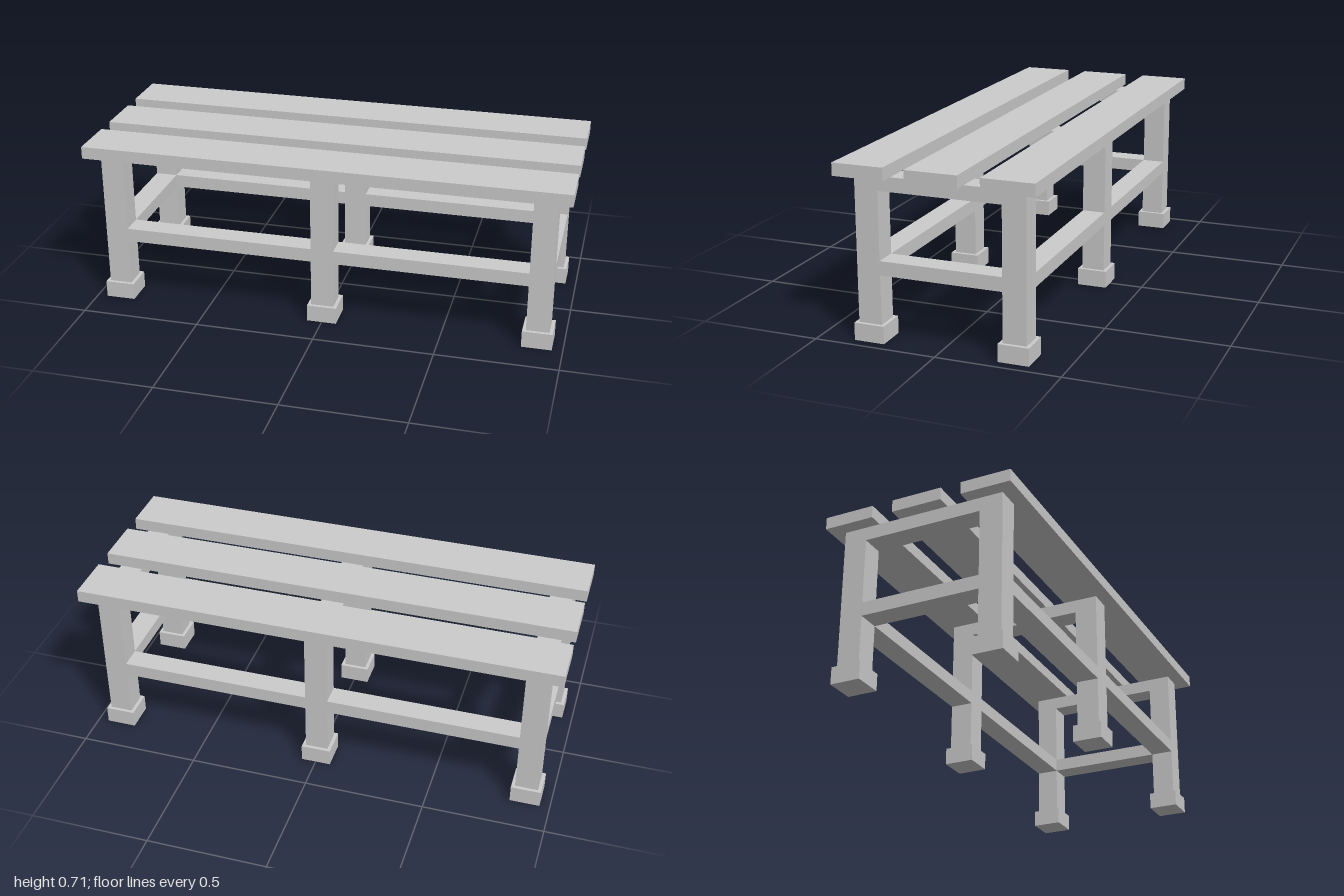
import * as THREE from 'three';

export function createModel() {
  const bench = new THREE.Group();
  bench.name = 'bench';
  const material = new THREE.MeshStandardMaterial({ color: 0xcccccc, flatShading: true });

  // Box given by its [min, max] extent on each axis
  function box(name, [x0, x1], [y0, y1], [z0, z1]) {
    const mesh = new THREE.Mesh(new THREE.BoxGeometry(x1 - x0, y1 - y0, z1 - z0), material);
    mesh.position.set((x0 + x1) / 2, (y0 + y1) / 2, (z0 + z1) / 2);
    mesh.name = name;
    bench.add(mesh);
  }
  const around = (centre, width) => [centre - width / 2, centre + width / 2];

  const legWidth = 0.095, half = legWidth / 2;
  const footWidth = 0.124, footTop = 0.071;
  const seatBottom = 0.657, seatTop = 0.708;
  const stretcherY = [0.27, 0.327];
  const legXs = [-0.896, -0.001, 0.894];
  const legZs = [-0.297, 0.293];
  const betweenLegs = [legZs[0] + half, legZs[1] - half];

  // Seat planks running the full length
  for (const z of [[-0.4, -0.191], [-0.103, 0.107], [0.192, 0.4]]) {
    box('seatPlank', [-1, 1], [seatBottom, seatTop], z);
  }

  // Three leg frames; only the end frames have a low cross stretcher
  legXs.forEach((x, i) => {
    for (const z of legZs) {
      box('leg', around(x, legWidth), [footTop, seatBottom], around(z, legWidth));
      box('foot', around(x, footWidth), [0, footTop], around(z, footWidth));
    }
    box('topRail', around(x, legWidth), [0.6, seatBottom], betweenLegs);
    if (i !== 1) box('endStretcher', around(x, legWidth), stretcherY, betweenLegs);
  });

  // Long stretchers joining neighbouring legs, front and back
  for (const z of legZs) {
    for (let i = 0; i < 2; i++) {
      box('longStretcher', [legXs[i] + half, legXs[i + 1] - half], stretcherY, around(z, legWidth));
    }
  }

  return bench;
}
